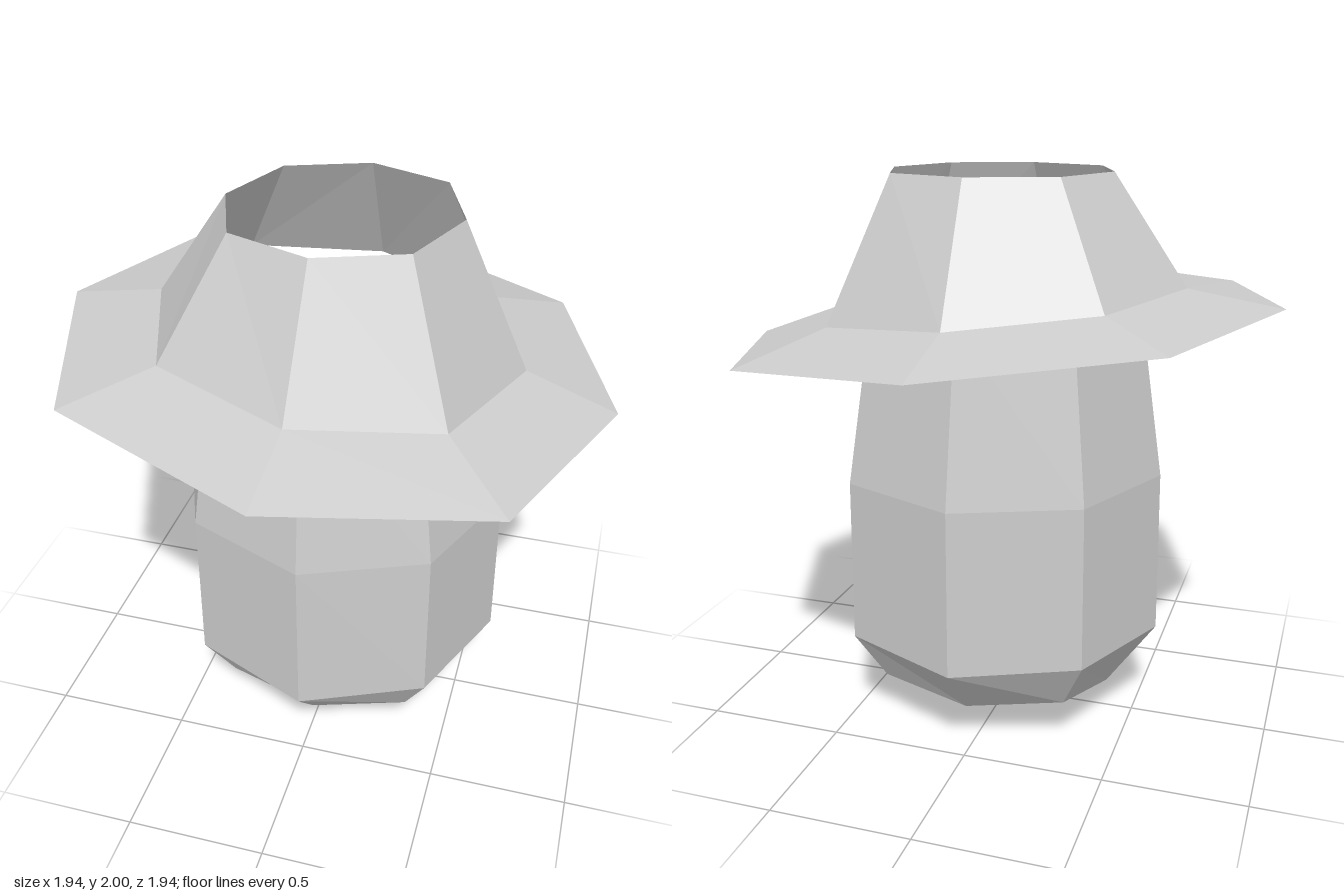
import * as THREE from 'three';

const SIDES = 8;

// One ring of the octagonal cross-section; r and y are rules of the corner's index or x position.
function ring(cx, r, y) {
  return Array.from({ length: SIDES }, (_, i) => {
    const a = (i / SIDES) * Math.PI * 2;
    const radius = typeof r === 'function' ? r(i) : r;
    const x = cx + Math.cos(a) * radius;
    return [x, typeof y === 'function' ? y(i, x) : y, Math.sin(a) * radius];
  });
}

// Joins rings, listed from bottom to top, into an open faceted shell.
function loft(rings, bottomTip) {
  const points = [];
  for (let i = 0; i < SIDES; i++) {
    const j = (i + 1) % SIDES;
    if (bottomTip) points.push(...bottomTip, ...rings[0][i], ...rings[0][j]);
    for (let k = 0; k < rings.length - 1; k++) {
      const low = rings[k], high = rings[k + 1];
      points.push(...low[i], ...high[i], ...high[j], ...low[i], ...high[j], ...low[j]);
    }
  }
  const geometry = new THREE.BufferGeometry();
  geometry.setAttribute('position', new THREE.Float32BufferAttribute(points, 3));
  geometry.computeVertexNormals();
  return geometry;
}

export function createModel() {
  const model = new THREE.Group();
  model.name = 'pottedHat';

  const grey = new THREE.MeshStandardMaterial({ color: 0xcccccc, flatShading: true, side: THREE.DoubleSide });
  grey.name = 'light grey';

  const add = (name, geometry) => {
    const mesh = new THREE.Mesh(geometry, grey);
    mesh.name = name;
    model.add(mesh);
  };

  // Hollow body: rounded-cube bottom, straight walls, tapered open neck
  const diagonal = (i) => i % 2 === 1;
  const baseHeight = (i) => (diagonal(i) ? 0.18 : i % 4 === 0 ? 0.105 : 0.15);
  add('body', loft([
    ring(0.02, (i) => (diagonal(i) ? 0.48 : 0.42), baseHeight),
    ring(0.02, 0.6, (i) => (diagonal(i) ? 0.365 : 0.357)),
    ring(0.02, 0.594, 0.95),
    ring(0.015, 0.5, 1.55),
  ], [0.02, 0, 0]));

  // Tilted brim and cone share a ring; the cone's open top is level
  const tilt = (height) => (i, x) => height - 0.1 * x;
  const brimOuter = ring(0, (i) => (diagonal(i) ? 1.0 : 0.968), tilt(1.472));
  const brimInner = ring(0.007, (i) => (diagonal(i) ? 0.665 : 0.645), tilt(1.558));
  const coneTop = ring(0.02, (i) => (diagonal(i) ? 0.41 : 0.398), 2);
  add('brim', loft([brimOuter, brimInner]));
  add('hatCone', loft([brimInner, coneTop]));

  return model;
}
